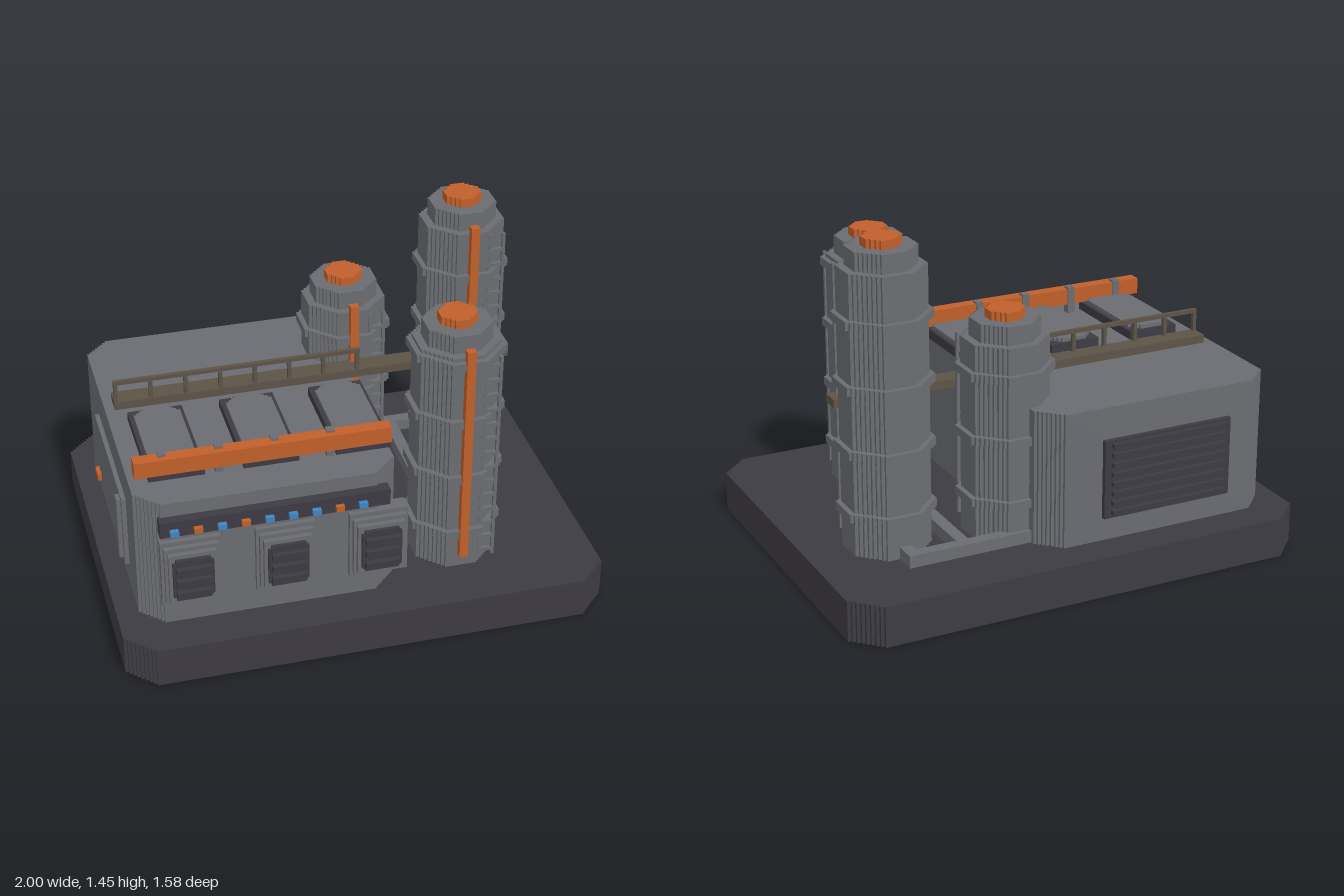
import * as THREE from 'three';

const mat = (name, color) => {
  const m = new THREE.MeshStandardMaterial({ color });
  m.name = name;
  return m;
};

export function createModel() {
  const root = new THREE.Group();
  root.name = 'processingPlant';
  const gray = mat('wallGray', 0x6a6c71);
  const dark = mat('darkGray', 0x3d3b42);
  const orange = mat('orange', 0xc05f2a);
  const brown = mat('walkwayBrown', 0x5d5347);
  const blue = mat('lampBlue', 0x3d86c4);

  const add = (parent, name, geo, m) => {
    const mesh = new THREE.Mesh(geo, m);
    mesh.name = name;
    parent.add(mesh);
    return mesh;
  };
  // Box given by its extents on each axis
  const box = (parent, name, m, x0, x1, y0, y1, z0, z1) => {
    const mesh = add(parent, name, new THREE.BoxGeometry(x1 - x0, y1 - y0, z1 - z0), m);
    mesh.position.set((x0 + x1) / 2, (y0 + y1) / 2, (z0 + z1) / 2);
    return mesh;
  };
  const group = (name, x = 0, y = 0, z = 0) => {
    const g = new THREE.Group();
    g.name = name;
    g.position.set(x, y, z);
    root.add(g);
    return g;
  };
  // Upright block whose corners are cut in small square steps
  const stepped = (parent, name, m, cx, cz, w, d, cut, y0, y1) => {
    const n = Math.max(2, Math.round(cut / 0.0137));
    const s = cut / n;
    const corner = [[w, d - cut]];
    for (let i = 1; i <= n; i++) {
      corner.push([w - i * s, d - cut + (i - 1) * s], [w - i * s, d - cut + i * s]);
    }
    const back = corner.slice().reverse();
    const pts = [
      ...corner,
      ...back.map(([x, z]) => [-x, z]),
      ...corner.map(([x, z]) => [-x, -z]),
      ...back.map(([x, z]) => [x, -z]),
    ].map(([x, z]) => new THREE.Vector2(x, z));
    const geo = new THREE.ExtrudeGeometry(new THREE.Shape(pts), { depth: y1 - y0, bevelEnabled: false });
    geo.rotateX(-Math.PI / 2);
    add(parent, name, geo, m).position.set(cx, y0, cz);
  };
  const octagon = (parent, name, m, r, y0, y1) => stepped(parent, name, m, 0, 0, r, r, r * 0.586, y0, y1);

  // Ground slab and main hall
  stepped(root, 'baseSlab', dark, 0, 0, 1, 0.79, 0.11, 0, 0.17);
  stepped(root, 'hall', gray, -0.385, -0.01, 0.525, 0.63, 0.09, 0.17, 0.74);

  // Front louvred vents, each a stack of shrinking frames
  for (const x of [-0.71, -0.33, 0.05]) {
    const g = group('frontVent', x, 0.42, 0);
    [[0.12, 0.15, 0.64], [0.108, 0.13, 0.66], [0.096, 0.112, 0.68]].forEach(([w, h, z]) =>
      box(g, 'ventFrame', gray, -w, w, -h, h, 0.575, z));
    box(g, 'ventPanel', dark, -0.07, 0.07, -0.095, 0.095, 0.67, 0.695);
    box(g, 'ventPanelSides', dark, -0.082, 0.082, -0.08, 0.08, 0.67, 0.694);
    for (const y of [-0.07, -0.015, 0.04]) {
      box(g, 'ventSlat', dark, -0.07, 0.07, y, y + 0.025, 0.69, 0.716);
    }
  }

  // Lamp strip above the vents
  const strip = group('lampStrip');
  box(strip, 'lampBar', dark, -0.83, 0.09, 0.61, 0.68, 0.61, 0.66);
  for (let i = 0; i < 9; i++) {
    const x = -0.775 + i * 0.094;
    box(strip, 'lamp', [1, 3, 7].includes(i) ? orange : blue, x - 0.017, x + 0.017, 0.623, 0.646, 0.655, 0.68);
  }

  // Roof hatches with raised lids
  for (const x of [-0.72, -0.34, 0.035]) {
    const g = group('roofHatch', x);
    box(g, 'hatchBase', dark, -0.112, 0.112, 0.735, 0.777, 0, 0.46);
    stepped(g, 'hatchLid', gray, 0, 0.235, 0.095, 0.222, 0.04, 0.775, 0.792);
  }

  // Roof beam and its posts
  const beam = group('roofBeam');
  box(beam, 'beam', orange, -0.89, 0.143, 0.78, 0.85, 0.43, 0.485);
  for (const x of [-0.775, -0.55, -0.325, -0.1]) {
    box(beam, 'beamPost', gray, x - 0.016, x + 0.016, 0.74, 0.858, 0.425, 0.46);
  }

  // Walkway with railing
  const walk = group('walkway');
  box(walk, 'deck', brown, -0.87, 0.825, 0.74, 0.775, -0.17, -0.085);
  box(walk, 'handRail', brown, -0.87, 0.17, 0.855, 0.872, -0.105, -0.088);
  for (let i = 0; i < 8; i++) {
    const x = -0.87 + i * 0.146;
    box(walk, 'railPost', brown, x, x + 0.016, 0.77, 0.86, -0.105, -0.088);
  }

  // Rear louvred grille
  const grille = group('rearGrille');
  box(grille, 'grillePanel', dark, -0.7, -0.12, 0.27, 0.605, -0.66, -0.63);
  for (let i = 0; i < 8; i++) {
    const y = 0.288 + i * 0.041;
    box(grille, 'grilleSlat', dark, -0.67, -0.15, y, y + 0.018, -0.68, -0.655);
  }

  // Side door with hinge bar and knob
  const door = group('sideDoor');
  box(door, 'doorPanel', gray, -0.928, -0.9, 0.28, 0.6, -0.29, 0.35);
  box(door, 'doorBar', gray, -0.945, -0.92, 0.3, 0.585, 0.285, 0.325);
  box(door, 'doorKnob', orange, -0.945, -0.92, 0.325, 0.355, -0.265, -0.2);

  // Towers: x, z, height of shoulder, ring count
  for (const [x, z, top, rings] of [[0.43, 0.39, 1.17, 4], [0.165, -0.345, 1.0, 3], [0.655, -0.27, 1.34, 4]]) {
    const g = group('tower', x, 0, z);
    octagon(g, 'towerBody', gray, 0.165, 0.17, top);
    octagon(g, 'towerNeck', gray, 0.132, top, top + 0.077);
    octagon(g, 'towerCap', orange, 0.075, top + 0.077, top + 0.114);
    for (let i = 0; i < rings; i++) {
      const y = 0.322 + i * 0.266;
      octagon(g, 'towerRing', gray, 0.186, y, y + 0.035);
    }
    // Riser pipe on the front
    box(g, 'riserPipe', orange, -0.018, 0.018, 0.23, top + 0.038, 0.163, 0.196);
    // Ladder beside the riser
    for (const lx of [0.07, 0.128]) box(g, 'ladderRail', gray, lx, lx + 0.013, 0.2, top - 0.02, 0.148, 0.162);
    for (let y = 0.22; y < top - 0.04; y += 0.068) {
      box(g, 'ladderRung', gray, 0.07, 0.141, y, y + 0.014, 0.148, 0.162);
    }
  }

  // Ground ducts linking the towers
  const ducts = group('groundDucts');
  box(ducts, 'ductLong', gray, 0.398, 0.45, 0.16, 0.222, -0.5, 0.25);
  box(ducts, 'ductCross', gray, 0.14, 0.672, 0.16, 0.221, -0.53, -0.478);
  box(ducts, 'ductShort', gray, 0.62, 0.672, 0.16, 0.222, -0.529, -0.4);

  return root;
}
